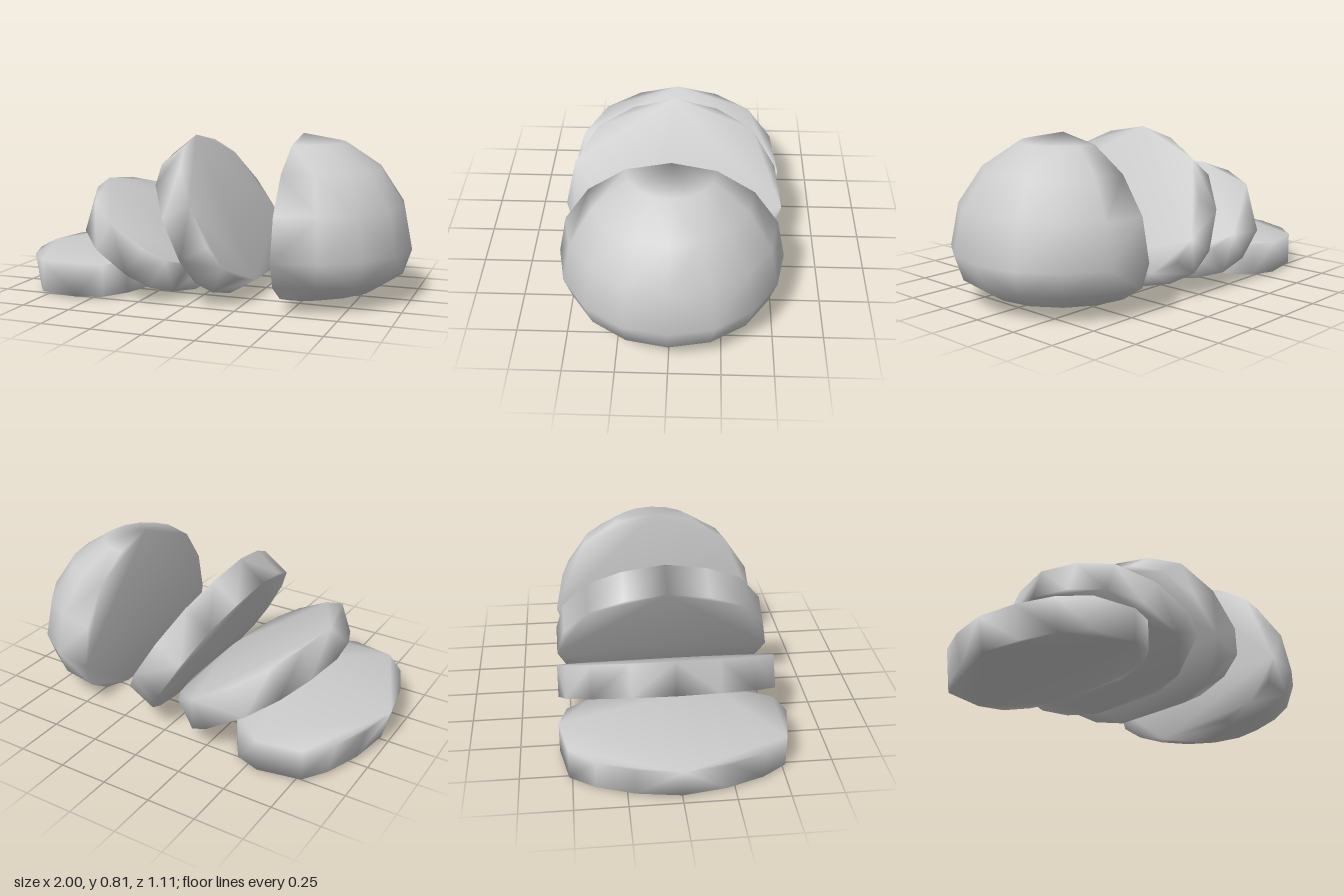
import * as THREE from 'three';
import { ConvexGeometry } from 'three/addons/geometries/ConvexGeometry.js';
import { mergeVertices } from 'three/addons/utils/BufferGeometryUtils.js';

const R = 0.557;   // largest radius
const BASE = 0.26; // height of the widest level above the flat underside

// closed convex skin with normals shared over every edge
function smoothHull(points) {
  const hull = new ConvexGeometry(points);
  hull.deleteAttribute('normal');
  const geometry = mergeVertices(hull, 1e-4);
  geometry.computeVertexNormals();
  return geometry;
}

// flat-bottomed outline in y-z whose crown rises h above the widest level
function outline(x, h) {
  const rows = [
    [0.213, 0.915 * h], [0.394, Math.min(0.75 * h, 0.7 * h + 0.02)], [0.515, 0.214],
    [R, 0], [0.515, -0.125], [0.394, -0.205], [0.213, -0.257],
  ];
  const points = [new THREE.Vector3(x, BASE + h, 0)];
  for (const [z, y] of rows) {
    points.push(new THREE.Vector3(x, BASE + y, z), new THREE.Vector3(x, BASE + y, -z));
  }
  return points;
}

// half dome: levels of [height, radius] swept through half a turn
function halfGeometry() {
  const levels = [
    [0.515, 0.213], [0.394, 0.394], [0.213, 0.515], [0, R],
    [-0.125, 0.515], [-0.205, 0.394], [-0.257, 0.213],
  ];
  const points = [new THREE.Vector3(0, BASE + R, 0)];
  for (const [y, r] of levels) {
    for (let i = 0; i <= 8; i++) {
      const a = (i / 8) * Math.PI;
      points.push(new THREE.Vector3(r * Math.sin(a), BASE + y, r * Math.cos(a)));
    }
  }
  return smoothHull(points);
}

export function createModel() {
  const group = new THREE.Group();
  const grey = new THREE.MeshStandardMaterial({ color: 0xcccccc });
  grey.name = 'light grey';

  const add = (name, geometry, x, y, degrees) => {
    const mesh = new THREE.Mesh(geometry, grey);
    mesh.name = name;
    mesh.position.set(x, y, 0);
    mesh.rotation.z = THREE.MathUtils.degToRad(degrees);
    group.add(mesh);
  };

  // uncut half standing upright
  add('uncutHalf', halfGeometry(), 0.443, 0, 0);

  // slices falling over: crown heights of both faces, foot position, tilt
  const slices = [
    ['leaningSlice', 0.527, 0.55, 0.265, 0.09, 30],
    ['tiltedSlice', 0.475, 0.515, 0.02, 0.155, 60],
    ['lyingSlice', 0.395, 0.435, -0.305, 0.176, 90],
  ];
  for (const [name, outer, inner, x, y, tilt] of slices) {
    add(name, smoothHull([...outline(-0.161, outer), ...outline(0, inner)]), x, y, tilt);
  }
  return group;
}
